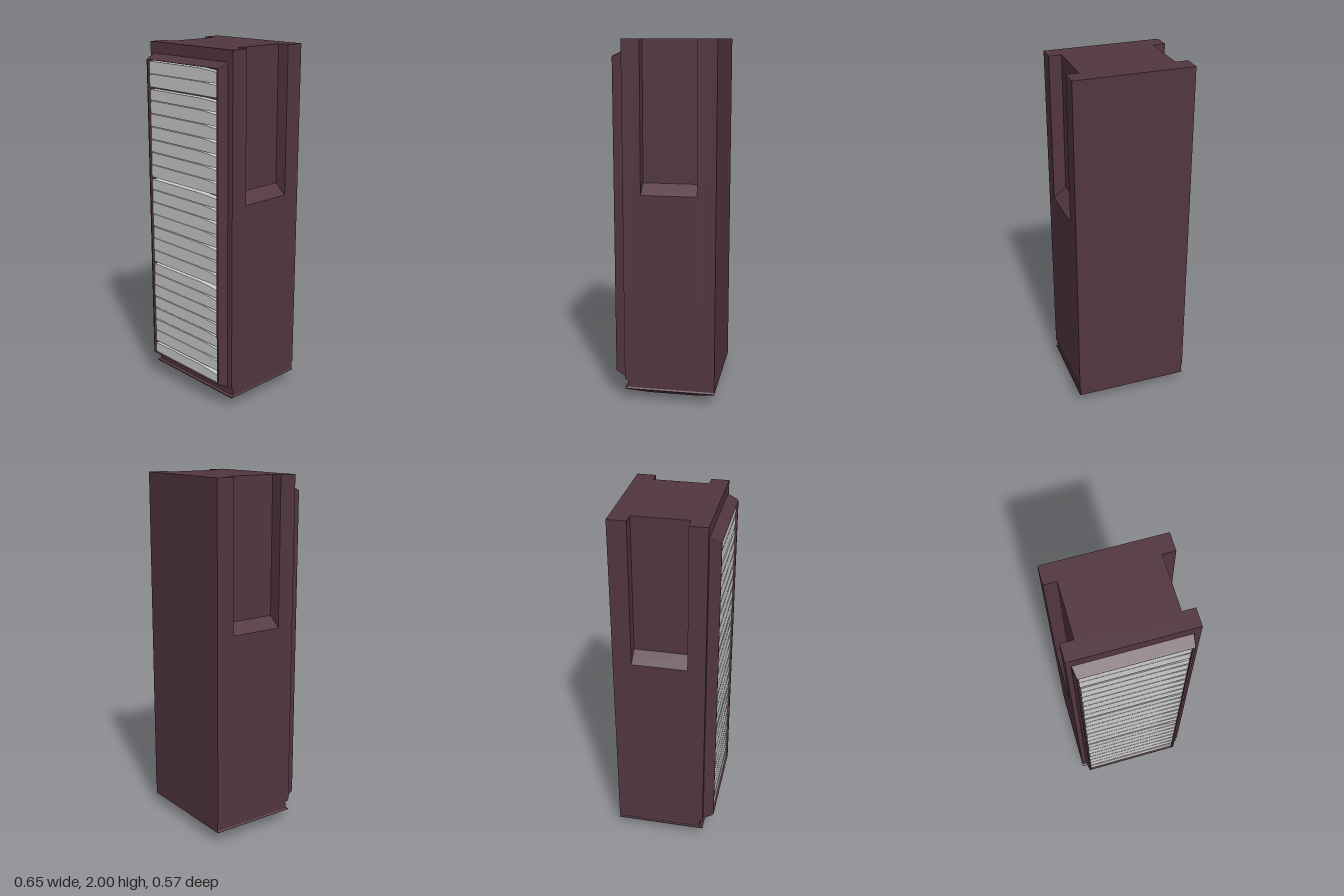
import * as THREE from 'three';

const maroon = new THREE.MeshStandardMaterial({ color: 0x52363e, flatShading: true });
const grey = new THREE.MeshStandardMaterial({ color: 0xcccccc, flatShading: true });

function add(parent, name, geometry, material) {
  const mesh = new THREE.Mesh(geometry, material);
  mesh.name = name;
  parent.add(mesh);
  return mesh;
}

// Skin a row of rectangles [x0, x1, y0, y1, z] with chamfered corners, capped at both ends
function loft(sections, c = 0) {
  const rings = sections.map(([x0, x1, y0, y1, z]) => {
    const pts = c
      ? [[x0 + c, y0], [x1 - c, y0], [x1, y0 + c], [x1, y1 - c], [x1 - c, y1], [x0 + c, y1], [x0, y1 - c], [x0, y0 + c]]
      : [[x0, y0], [x1, y0], [x1, y1], [x0, y1]];
    return pts.map(([x, y]) => [x, y, z]);
  });
  const pos = [];
  const tri = (a, b, d) => pos.push(...a, ...b, ...d);
  const n = rings[0].length;
  for (let r = 0; r < rings.length - 1; r++) {
    const a = rings[r], b = rings[r + 1];
    for (let i = 0; i < n; i++) {
      const j = (i + 1) % n;
      tri(a[i], a[j], b[j]);
      tri(a[i], b[j], b[i]);
    }
  }
  const first = rings[0], last = rings[rings.length - 1];
  for (let i = 1; i < n - 1; i++) {
    tri(first[0], first[i + 1], first[i]);
    tri(last[0], last[i], last[i + 1]);
  }
  const g = new THREE.BufferGeometry();
  g.setAttribute('position', new THREE.Float32BufferAttribute(pos, 3));
  g.computeVertexNormals();
  return g;
}

// Extrude an outline in x, y between two depths
function slab(points, z0, z1) {
  const shape = new THREE.Shape(points.map(([x, y]) => new THREE.Vector2(x, y)));
  return new THREE.ExtrudeGeometry(shape, { depth: z1 - z0, bevelEnabled: false }).translate(0, 0, z0);
}

export function createModel() {
  const model = new THREE.Group();
  model.name = 'cabinet';
  const W = 0.325, low = 0.123, front = 0.2235, back = -0.2835;

  // Body: full slabs at front and back, a slotted slab with sloped slot floors between
  const body = new THREE.Group();
  body.name = 'body';
  model.add(body);
  const full = [[-W, low], [W, low], [W, 2], [-W, 2]];
  const slotted = [[-W, low], [W, low], [W, 1.18], [0.256, 1.237], [0.256, 2], [-0.256, 2], [-0.256, 1.237], [-W, 1.18]];
  add(body, 'bodyFront', slab(full, 0.125, front), maroon);
  add(body, 'bodySlotted', slab(slotted, -0.18, 0.125), maroon);
  add(body, 'bodyBack', slab(full, back, -0.18), maroon);

  // Base: groove at the front and a finer one at the sides, lip and tapered foot
  const base = loft([
    [-0.2, 0.2, -0.105, 0.16, 0],
    [-W, W, -front, -back, 0.067],
    [-W, W, -front, -back, 0.072],
    [-W + 0.004, W - 0.004, -0.207, -back, 0.078],
    [-W + 0.004, W - 0.004, -0.207, -back, low],
  ]).rotateX(-Math.PI / 2);
  add(model, 'base', base, maroon);

  // Front frame: sloped sides, softened rim and a recess
  add(model, 'frontFrame', loft([
    [-0.3, 0.291, 0.125, 1.938, front],
    [-0.292, 0.284, 0.152, 1.914, 0.277],
    [-0.288, 0.28, 0.156, 1.91, 0.283],
    [-0.28, 0.268, 0.158, 1.908, 0.283],
    [-0.28, 0.268, 0.158, 1.908, 0.235],
  ], 0.003), maroon);

  // Stacked sheets: bundles of two, the top one curving down towards the right
  const sheets = new THREE.Group();
  sheets.name = 'sheets';
  model.add(sheets);
  let seed = 7;
  const random = () => (seed = (seed * 16807) % 2147483647) / 2147483647;
  const bundles = 24, bottom = 0.16, pitch = 1.746 / bundles;
  for (let b = 0; b < bundles; b++) {
    const gap = b % 7 === 0 ? 0.014 : 0.002 + 0.004 * random();
    const y0 = bottom + b * pitch;
    const y2 = y0 + pitch - gap;
    const y1 = y0 + pitch * (0.35 + 0.25 * random());
    const drop = 0.008 + 0.006 * random();
    const left = -0.28 + 0.004 * random();
    const lower = [[left, y0], [0.268, y0], [0.268, y1], [left, y1]];
    const upper = [
      [left, y1], [0.268, y1], [0.268, y2 - drop],
      [0.21, y2 - drop * 0.5], [0.13, y2], [left + 0.003, y2],
    ];
    add(sheets, 'lowerSheet', slab(lower, 0.23, 0.272), grey);
    add(sheets, 'upperSheet', slab(upper, 0.23, 0.2725), grey);
  }
  return model;
}
